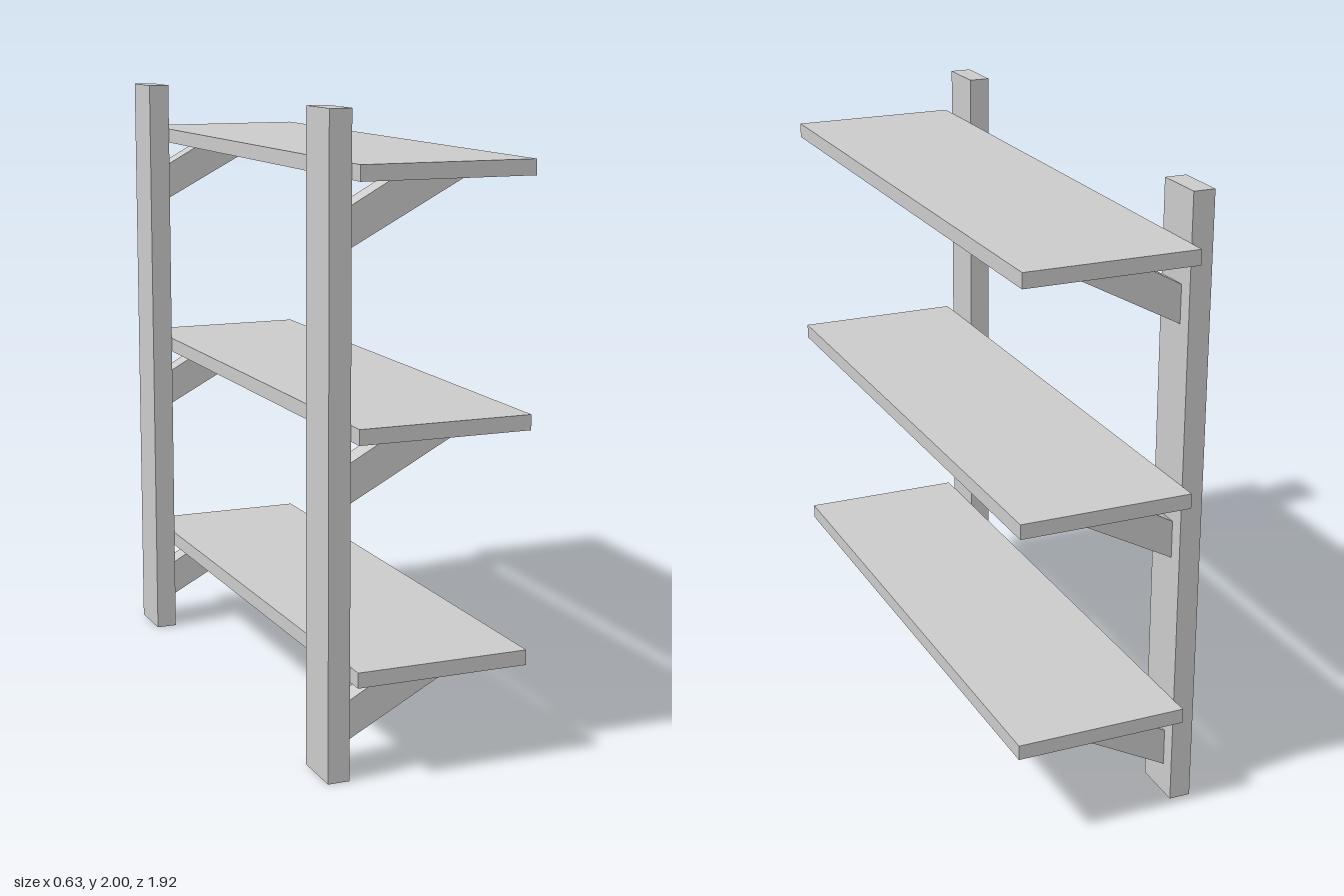
import * as THREE from 'three';

const material = new THREE.MeshStandardMaterial({ color: 0xcccccc, flatShading: true });

function add(group, name, geometry, x, y, z) {
  const mesh = new THREE.Mesh(geometry, material);
  mesh.name = name;
  mesh.position.set(x, y, z);
  group.add(mesh);
}

export function createModel() {
  const model = new THREE.Group();
  model.name = 'wallShelf';

  const postFront = -0.245; // face of the posts that carries the shelves
  const postZ = 0.816;
  const shelfBottoms = [0.311, 1.042, 1.798];

  // Slanted brace profile: cut flush to the post and to the shelf underside
  const braceShape = new THREE.Shape([
    new THREE.Vector2(0, -0.21),
    new THREE.Vector2(0.397, 0),
    new THREE.Vector2(0.16, 0),
    new THREE.Vector2(0, -0.088),
  ]);
  const braceGeometry = new THREE.ExtrudeGeometry(braceShape, { depth: 0.072, bevelEnabled: false });
  braceGeometry.translate(0, 0, -0.036);

  const postGeometry = new THREE.BoxGeometry(0.07, 2, 0.173);
  const shelfGeometry = new THREE.BoxGeometry(0.558, 0.048, 1.925);

  // Two uprights
  for (const side of [-1, 1]) {
    add(model, side > 0 ? 'frontPost' : 'backPost', postGeometry, postFront - 0.035, 1, side * postZ);
  }

  // Shelves, each on a pair of braces
  shelfBottoms.forEach((y, i) => {
    add(model, `shelf${i + 1}`, shelfGeometry, postFront + 0.279, y + 0.024, 0);
    for (const side of [-1, 1]) {
      add(model, `${side > 0 ? 'front' : 'back'}Brace${i + 1}`, braceGeometry, postFront, y, side * postZ);
    }
  });

  return model;
}
